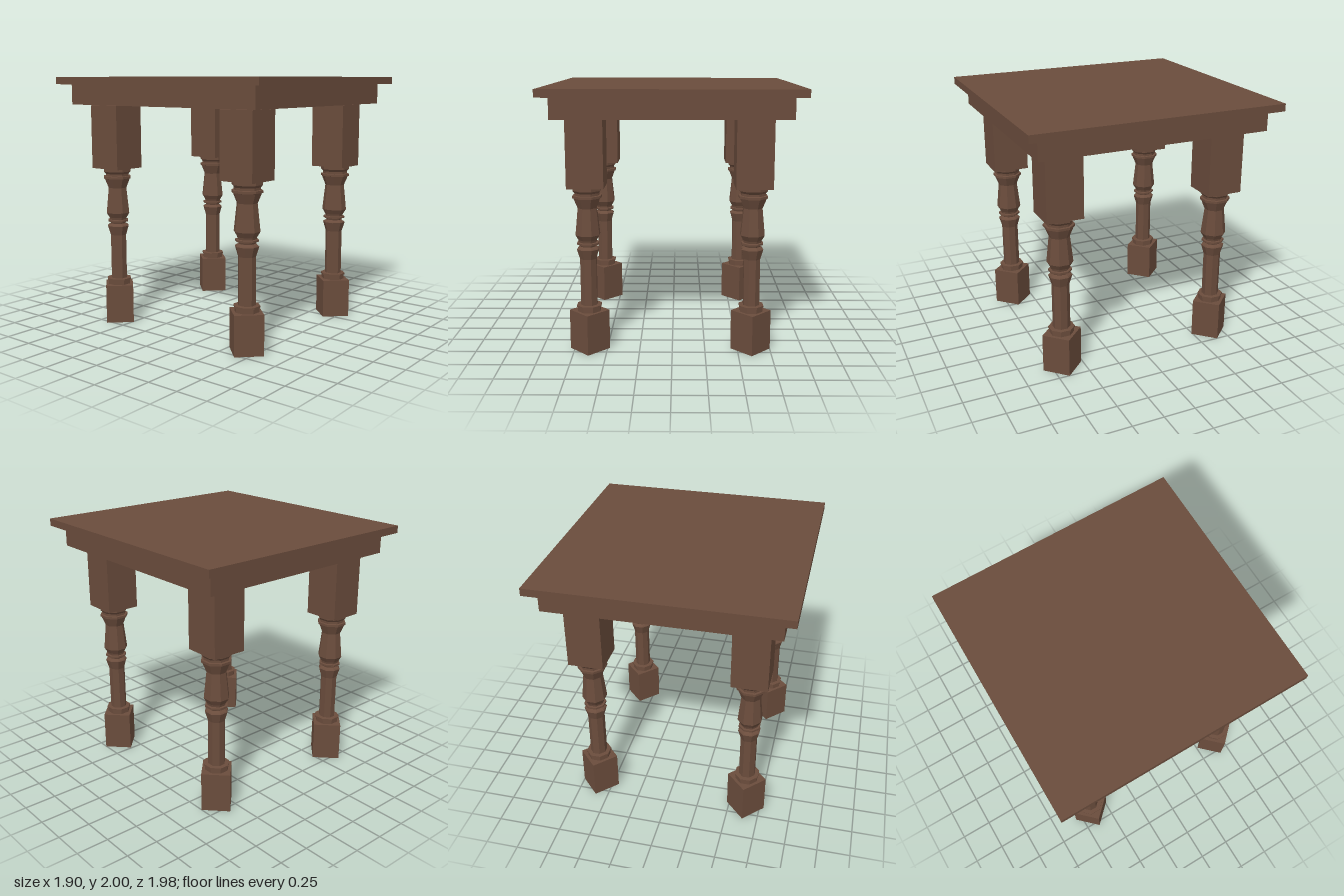
import * as THREE from 'three';

const wood = new THREE.MeshStandardMaterial({ color: 0x6a4c3c });
wood.name = 'darkWood';

// Box given by its size, bottom height and centre
function box(name, w, h, d, y, x = 0, z = 0) {
  const mesh = new THREE.Mesh(new THREE.BoxGeometry(w, h, d), wood);
  mesh.name = name;
  mesh.position.set(x, y + h / 2, z);
  return mesh;
}

// Turned post: [half width across flats, height]
const profile = [
  [0.085, 0.30], [0.085, 0.345], [0.092, 0.345], [0.092, 0.358], [0.061, 0.36],
  [0.061, 0.72], [0.082, 0.795], [0.076, 0.803], [0.057, 0.815], [0.062, 0.83],
  [0.08, 0.832], [0.08, 0.846], [0.064, 0.848], [0.068, 0.865], [0.09, 0.905],
  [0.07, 1.11], [0.098, 1.185], [0.106, 1.187], [0.106, 1.205], [0.09, 1.207],
  [0.09, 1.225], [0.104, 1.243], [0.104, 1.275],
];

// Eight-sided lathe with faceted normals
function postGeometry() {
  const pts = profile.map(([a, y]) => new THREE.Vector2(a / Math.cos(Math.PI / 8), y));
  const geo = new THREE.LatheGeometry(pts, 8, Math.PI / 8).toNonIndexed();
  geo.computeVertexNormals();
  return geo;
}

function createLeg(postGeo) {
  const leg = new THREE.Group();
  leg.name = 'leg';

  const post = new THREE.Mesh(postGeo, wood);
  post.name = 'turnedPost';
  post.scale.set(0.99, 1, 1.03);

  // Foot block stands cornerwise
  const footGeo = new THREE.CylinderGeometry(0.154, 0.154, 0.31, 4).toNonIndexed();
  footGeo.computeVertexNormals();
  const foot = new THREE.Mesh(footGeo, wood);
  foot.name = 'footBlock';
  foot.position.y = 0.155;
  foot.scale.set(0.985, 1, 1.025);

  leg.add(post, foot, box('upperBlock', 0.272, 0.505, 0.285, 1.27));
  return leg;
}

export function createModel() {
  const table = new THREE.Group();
  table.name = 'table';

  // Top and the solid frame under it
  table.add(box('tableTop', 1.9, 0.058, 1.98, 1.942));
  table.add(box('apron', 1.73, 0.16, 1.805, 1.782));

  // Four legs
  const postGeo = postGeometry();
  for (const x of [-0.633, 0.6]) {
    for (const z of [-0.648, 0.667]) {
      const leg = createLeg(postGeo);
      leg.position.set(x, 0, z);
      table.add(leg);
    }
  }
  return table;
}
